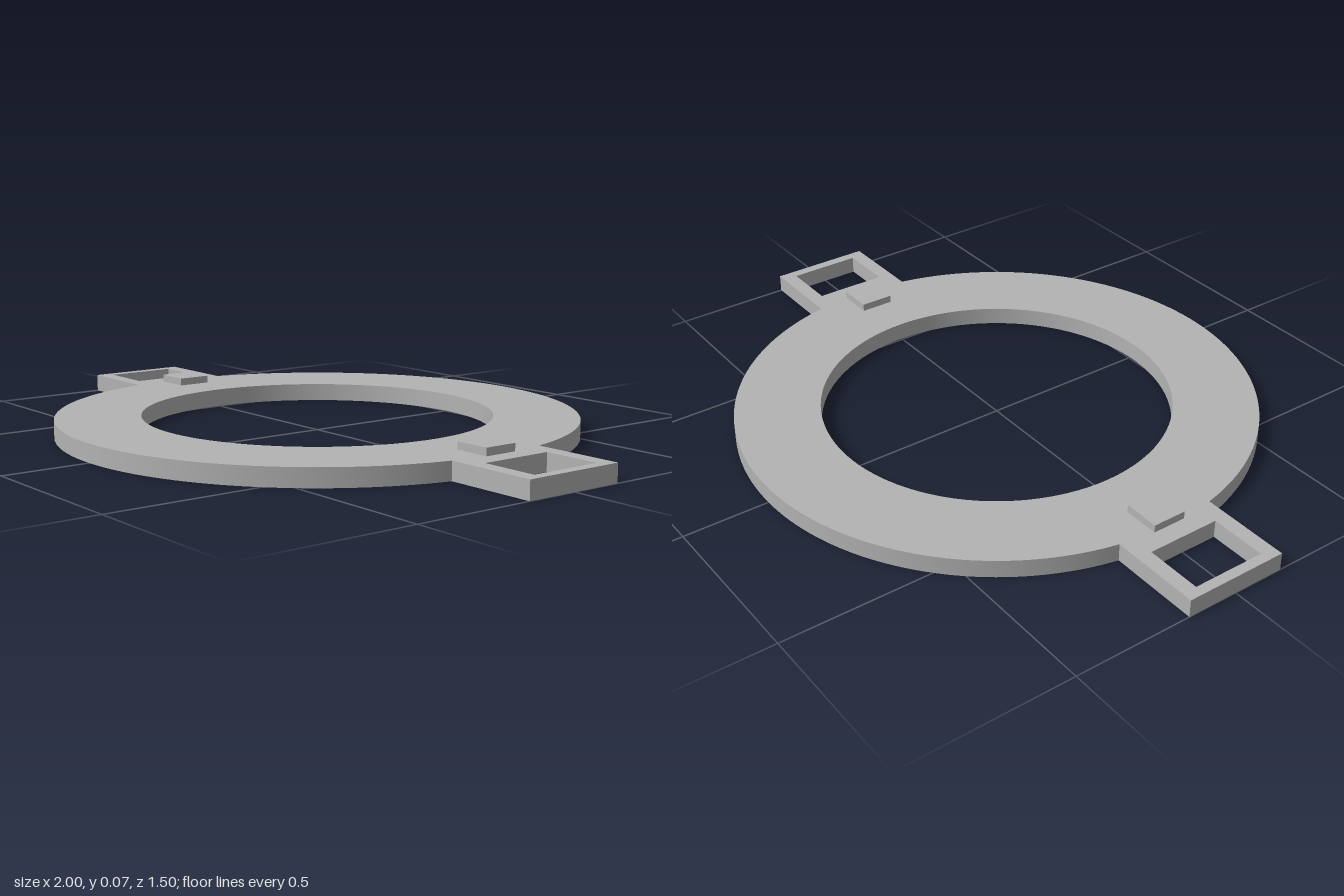
import * as THREE from 'three';
import { toCreasedNormals } from 'three/addons/utils/BufferGeometryUtils.js';

const OUTER = 0.75, INNER = 0.505, THICK = 0.052;
const TAB_END = 1, TAB_HALF = 0.152;

// Rectangular hole centred on the x axis
function rectHole(x0, x1, half) {
  const p = new THREE.Path();
  p.moveTo(x0, -half);
  p.lineTo(x0, half);
  p.lineTo(x1, half);
  p.lineTo(x1, -half);
  p.closePath();
  return p;
}

export function createModel() {
  const group = new THREE.Group();
  group.name = 'ringPlate';
  const grey = new THREE.MeshStandardMaterial({ color: 0xb3b3b3 });
  grey.name = 'grey';

  // Ring outline with a square-ended tab on each side
  const a = Math.asin(TAB_HALF / OUTER);
  const outline = new THREE.Shape();
  outline.moveTo(TAB_END, -TAB_HALF);
  outline.lineTo(TAB_END, TAB_HALF);
  outline.absarc(0, 0, OUTER, a, Math.PI - a, false);
  outline.lineTo(-TAB_END, TAB_HALF);
  outline.lineTo(-TAB_END, -TAB_HALF);
  outline.absarc(0, 0, OUTER, Math.PI + a, 2 * Math.PI - a, false);
  outline.closePath();

  // Central opening and the strap windows in the tabs
  const opening = new THREE.Path();
  opening.absarc(0, 0, INNER, 0, Math.PI * 2, true);
  outline.holes.push(opening, rectHole(0.805, 0.97, 0.108), rectHole(-0.97, -0.805, 0.108));

  const plateGeo = new THREE.ExtrudeGeometry(outline, {
    depth: THICK, bevelEnabled: false, curveSegments: 48,
  });
  plateGeo.rotateX(-Math.PI / 2);
  const plate = new THREE.Mesh(toCreasedNormals(plateGeo, 0.5), grey);
  plate.name = 'ringWithTabs';
  group.add(plate);

  // Small raised pads beside the tabs
  for (const side of [-1, 1]) {
    const pad = new THREE.Mesh(new THREE.BoxGeometry(0.106, 0.022, 0.1), grey);
    pad.position.set(side * 0.697, THICK + 0.011, 0);
    pad.name = side > 0 ? 'leftPad' : 'rightPad';
    group.add(pad);
  }
  return group;
}
